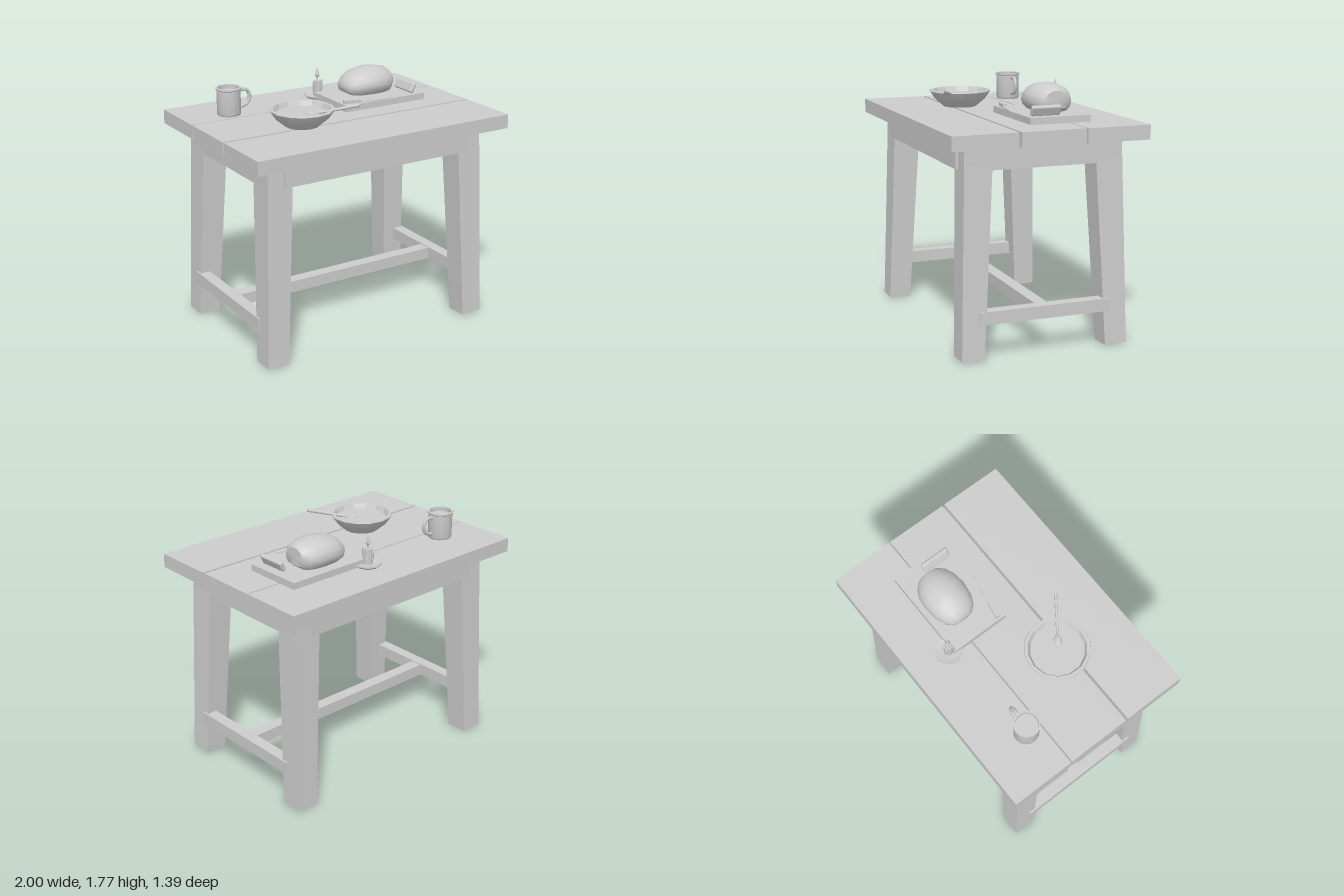
import * as THREE from 'three';
import { toCreasedNormals } from 'three/addons/utils/BufferGeometryUtils.js';
import { RoundedBoxGeometry } from 'three/addons/geometries/RoundedBoxGeometry.js';

export function createModel() {
  const model = new THREE.Group();
  const grey = new THREE.MeshStandardMaterial({ color: 0xcccccc });
  grey.name = 'plainGrey';

  const add = (name, geometry, x = 0, y = 0, z = 0, parent = model) => {
    const mesh = new THREE.Mesh(geometry, grey);
    mesh.name = name;
    mesh.position.set(x, y, z);
    parent.add(mesh);
    return mesh;
  };
  // Box given by its limits on each axis
  const box = (name, x0, x1, y0, y1, z0, z1) =>
    add(name, new THREE.BoxGeometry(x1 - x0, y1 - y0, z1 - z0), (x0 + x1) / 2, (y0 + y1) / 2, (z0 + z1) / 2);
  // Turned shape with crisp rims
  const turned = (name, profile, sides, x, y, z, crease = 0.6) =>
    add(name, toCreasedNormals(
      new THREE.LatheGeometry(profile.map(p => new THREE.Vector2(...p)), sides), crease), x, y, z);

  // Table top planks
  box('frontPlank', -1, 1, 1.43, 1.53, 0.24, 0.697);
  box('middlePlank', -1, 1, 1.43, 1.53, -0.232, 0.222);
  box('backPlank', -1, 1, 1.43, 1.53, -0.697, -0.242);

  // Splayed, tapered legs
  for (const sx of [-1, 1]) for (const sz of [-1, 1]) {
    const geo = new THREE.BoxGeometry(1, 1, 1);
    const p = geo.attributes.position;
    for (let i = 0; i < p.count; i++) {
      const top = p.getY(i) > 0;
      const outX = p.getX(i) * sx > 0, outZ = p.getZ(i) * sz > 0;
      p.setXYZ(i,
        sx * (top ? (outX ? 0.855 : 0.667) : (outX ? 0.9 : 0.74)),
        top ? 1.43 : (outX ? 0.006 : 0) + (outZ ? 0.006 : 0),
        sz * (top ? (outZ ? 0.56 : 0.362) : (outZ ? 0.6 : 0.44)));
    }
    geo.computeVertexNormals();
    add((sz > 0 ? 'front' : 'back') + (sx > 0 ? 'Left' : 'Right') + 'Leg', geo);
  }

  // Aprons and stretchers
  for (const s of [-1, 1]) {
    const z = s * 0.54, xa = s * 0.817, xs = s * 0.86;
    box(s > 0 ? 'frontApron' : 'backApron', -0.74, 0.74, 1.27, 1.43, z - 0.04, z + 0.04);
    box('sideApron', xa - 0.042, xa + 0.042, 1.27, 1.43, -0.55, 0.55);
    box('sideStretcher', xs - 0.042, xs + 0.042, 0.248, 0.337, -0.475, 0.475);
  }
  box('longStretcher', -0.83, 0.83, 0.245, 0.33, -0.045, 0.045);

  // Mug with drink and handle
  turned('mug', [[0, 0], [0.08, 0], [0.086, 0.012], [0.086, 0.18], [0.092, 0.185], [0.092, 0.195],
    [0.076, 0.195], [0.076, 0.165], [0, 0.165]], 14, -0.66, 1.53, -0.345);
  const handlePath = new THREE.CatmullRomCurve3([[-0.585, 1.69], [-0.525, 1.695], [-0.495, 1.65],
    [-0.51, 1.595], [-0.585, 1.57]].map(([x, y]) => new THREE.Vector3(x, y, -0.345)));
  add('mugHandle', new THREE.TubeGeometry(handlePath, 8, 0.013, 6));

  // Soup bowl
  turned('bowl', [[0, 0], [0.12, 0], [0.185, 0.055], [0.225, 0.112], [0.222, 0.12], [0.2, 0.12],
    [0.184, 0.085], [0, 0.085]], 14, -0.36, 1.53, 0.155, 0.3);

  // Spoon, half sunk in the soup
  const scoop = add('spoonScoop', new THREE.SphereGeometry(0.04, 10, 6), -0.31, 1.616, 0.2);
  scoop.scale.set(1.1, 0.25, 0.7);
  scoop.rotation.y = -0.6;
  const from = new THREE.Vector3(-0.27, 1.622, 0.23), to = new THREE.Vector3(-0.045, 1.68, 0.39);
  const stem = add('spoonHandle', new THREE.CylinderGeometry(0.012, 0.01, from.distanceTo(to), 6));
  stem.position.copy(from).lerp(to, 0.5);
  stem.quaternion.setFromUnitVectors(new THREE.Vector3(0, 1, 0), to.clone().sub(from).normalize());

  // Cutting board
  box('cuttingBoard', 0.062, 0.735, 1.53, 1.577, -0.385, 0.053);

  // Loaf: sections of [x, half width, top, bottom], cut flat at one end
  const sections = [[0.19, 0.045, 1.665, 1.625], [0.205, 0.085, 1.692, 1.6], [0.24, 0.12, 1.728, 1.582],
    [0.3, 0.147, 1.758, 1.577], [0.4, 0.16, 1.772, 1.577], [0.48, 0.15, 1.765, 1.577],
    [0.545, 0.122, 1.752, 1.58], [0.577, 0.088, 1.728, 1.605]];
  const last = sections.length - 1;
  const loaf = new THREE.CylinderGeometry(1, 1, last, 16, last);
  loaf.rotateZ(-Math.PI / 2);
  const lp = loaf.attributes.position;
  for (let i = 0; i < lp.count; i++) {
    const [x, w, top, bottom] = sections[Math.round(lp.getX(i) + last / 2)];
    const y = lp.getY(i), mid = bottom + (top - bottom) * 0.4;
    lp.setXYZ(i, x, y > 0 ? mid + y * (top - mid) : mid + Math.max(y * 1.3, -1) * (mid - bottom), lp.getZ(i) * w);
  }
  add('loaf', toCreasedNormals(loaf, 0.8), 0, 0, -0.205);

  // Leaning slice of bread
  const slice = add('breadSlice', new RoundedBoxGeometry(0.034, 0.075, 0.215, 2, 0.014), 0.665, 1.612, -0.087);
  slice.rotation.z = -0.45;

  // Knife lying across the board corner
  const knife = new THREE.Group();
  knife.name = 'knife';
  knife.position.set(0.075, 1.577, -0.003);
  knife.rotation.y = -0.2;
  model.add(knife);
  add('knifeHandle', new THREE.BoxGeometry(0.125, 0.024, 0.034), 0.064, 0.013, 0, knife);
  const outline = new THREE.Shape([[0.12, -0.016], [0.4, -0.012], [0.435, -0.005], [0.42, 0.014], [0.24, 0.022],
    [0.12, 0.018]].map(p => new THREE.Vector2(...p)));
  const blade = new THREE.ExtrudeGeometry(outline, { depth: 0.006, bevelEnabled: false });
  blade.rotateX(Math.PI / 2);
  add('knifeBlade', blade, 0, 0.013, 0, knife);

  // Candle on its saucer, with drips, wick and flame
  const cx = 0.1, cz = -0.405;
  turned('candleSaucer', [[0, 0], [0.075, 0], [0.096, 0.015], [0.096, 0.024], [0.07, 0.018], [0, 0.018]],
    8, cx, 1.53, cz, 0.3);
  turned('candle', [[0, 0], [0.032, 0], [0.03, 0.11], [0.022, 0.112], [0.016, 0.1], [0, 0.1]], 10, cx, 1.545, cz);
  [[0.5, 0.06, 1.63], [2.4, 0.08, 1.62], [4.2, 0.05, 1.605]].forEach(([a, h, y]) =>
    add('waxDrip', new THREE.CapsuleGeometry(0.009, h, 3, 6), cx + Math.cos(a) * 0.032, y, cz + Math.sin(a) * 0.032));
  add('wick', new THREE.CylinderGeometry(0.004, 0.004, 0.05, 5), cx, 1.665, cz);
  turned('flame', [[0, 0], [0.018, 0.024], [0.011, 0.05], [0, 0.085]], 6, cx, 1.672, cz, 0.3);

  return model;
}
